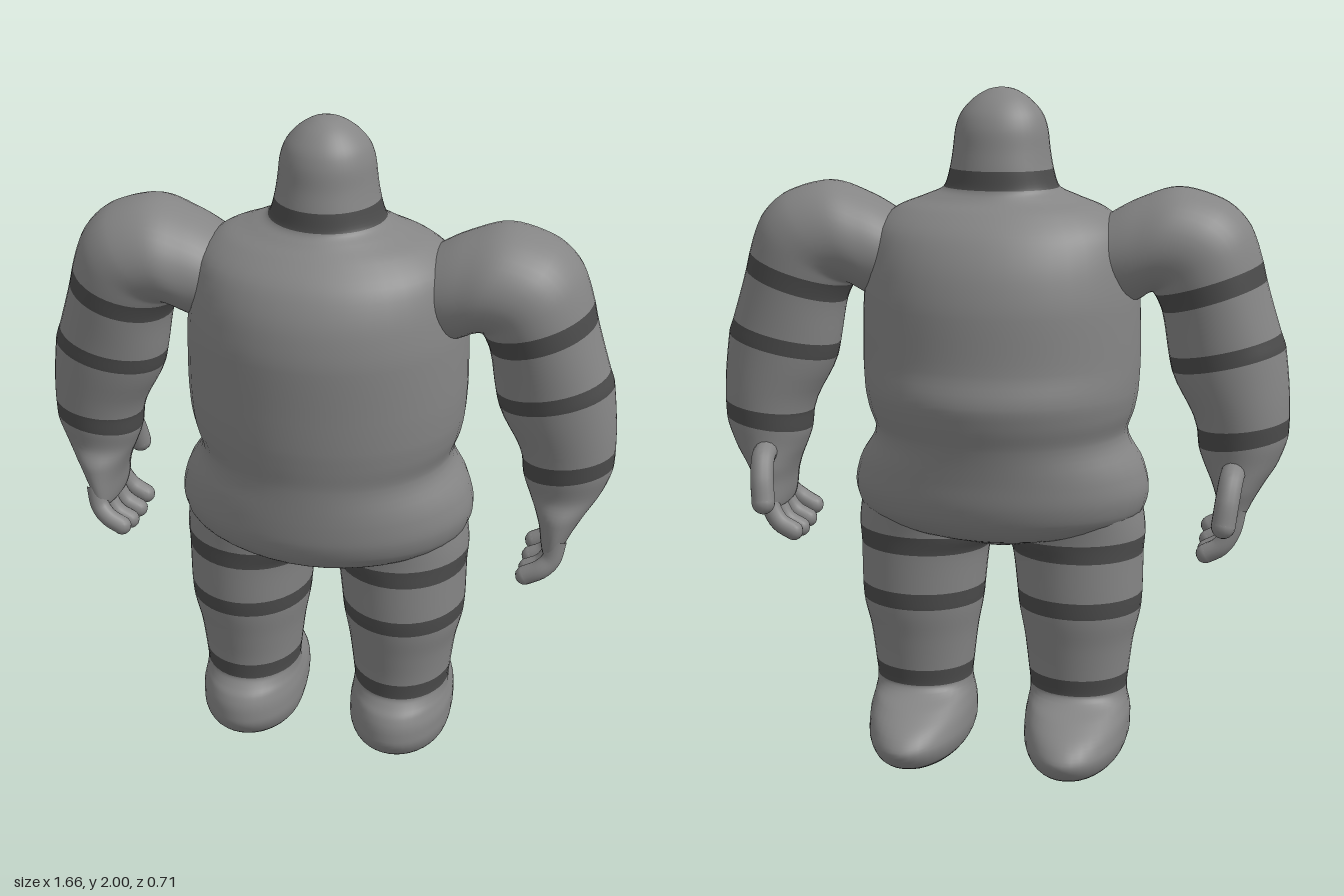
import * as THREE from 'three';

const SIDES = 40;
const STEPS = 5;

// Smooth skin through cross-sections. Each section is
// [outerX, outerY, innerX, innerY, zBack, zFront, dark]; dark = 1 paints the stretch up to the next one.
function loft(sections, side = 1) {
  const v = sections.map((s) => s.slice(0, 6));
  const n = v.length;
  const t = [0];
  for (let i = 1; i < n; i++) {
    t[i] = t[i - 1] + Math.hypot(...v[i].map((c, k) => c - v[i - 1][k])) + 1e-4;
  }
  const tangent = (i, k) => {
    const a = Math.max(i - 1, 0), b = Math.min(i + 1, n - 1);
    if (a === i || b === i) return (v[b][k] - v[a][k]) / (t[b] - t[a]);
    const d0 = (v[i][k] - v[a][k]) / (t[i] - t[a]);
    const d1 = (v[b][k] - v[i][k]) / (t[b] - t[i]);
    return d0 * d1 <= 0 ? 0 : (2 * d0 * d1) / (d0 + d1);
  };
  const rings = [];
  for (let i = 0; i < n - 1; i++) {
    const h = t[i + 1] - t[i];
    for (let j = 0; j < STEPS; j++) {
      const u = j / STEPS, u2 = u * u, u3 = u2 * u;
      rings.push(v[i].map((c, k) =>
        (2 * u3 - 3 * u2 + 1) * c + (u3 - 2 * u2 + u) * h * tangent(i, k)
        + (3 * u2 - 2 * u3) * v[i + 1][k] + (u3 - u2) * h * tangent(i + 1, k)));
    }
  }
  rings.push(v[n - 1]);

  const pos = [], idx = [];
  const geo = new THREE.BufferGeometry();
  rings.forEach(([ox, oy, ix, iy, zb, zf]) => {
    for (let j = 0; j < SIDES; j++) {
      const a = (j / SIDES) * Math.PI * 2, c = Math.cos(a), s = Math.sin(a);
      pos.push(side * ((ox + ix) / 2 + c * (ox - ix) / 2),
        (oy + iy) / 2 + c * (oy - iy) / 2, s * (s > 0 ? zb : zf));
    }
  });
  for (let i = 0; i < rings.length - 1; i++) {
    const start = idx.length;
    for (let j = 0; j < SIDES; j++) {
      const a = i * SIDES + j, b = i * SIDES + (j + 1) % SIDES;
      const c = a + SIDES, d = b + SIDES;
      if (side > 0) idx.push(a, c, b, b, c, d);
      else idx.push(a, b, c, b, d, c);
    }
    geo.addGroup(start, idx.length - start, sections[Math.floor(i / STEPS)][6] ? 1 : 0);
  }
  geo.setAttribute('position', new THREE.Float32BufferAttribute(pos, 3));
  geo.setIndex(idx);
  geo.computeVertexNormals();
  return geo;
}

// Level section: height, outer x, inner x, back and front depth
const level = (y, xo, xi, zb, zf, dark = 0) => [xo, y, xi, y, zb, zf, dark];
const round = (y, r, zb, zf, dark = 0) => level(y, r, -r, zb, zf, dark);

const BODY = [
  round(0.665, 0, 0, 0), round(0.685, 0.08, 0.08, 0.07), round(0.715, 0.19, 0.19, 0.15),
  round(0.75, 0.34, 0.265, 0.23), round(0.8, 0.418, 0.31, 0.272), round(0.86, 0.433, 0.328, 0.292),
  round(0.93, 0.418, 0.332, 0.302), round(1.03, 0.368, 0.334, 0.322), round(1.1, 0.388, 0.342, 0.345),
  round(1.16, 0.398, 0.348, 0.356), round(1.25, 0.402, 0.352, 0.338), round(1.4, 0.398, 0.356, 0.33),
  round(1.5, 0.388, 0.343, 0.31), round(1.6, 0.365, 0.3, 0.262), round(1.665, 0.3, 0.235, 0.2),
  round(1.7, 0.215, 0.19, 0.155), round(1.725, 0.164, 0.165, 0.14, 1), round(1.777, 0.146, 0.156, 0.134),
  round(1.83, 0.137, 0.145, 0.125), round(1.88, 0.131, 0.138, 0.117), round(1.92, 0.119, 0.125, 0.102),
  round(1.955, 0.093, 0.1, 0.076), round(1.98, 0.062, 0.07, 0.046), round(1.995, 0.03, 0.037, 0.02),
  round(2, 0, 0, 0),
];

const LEG = [
  level(0.005, 0.235, 0.235, 0, 0, 1), level(0.011, 0.29, 0.18, 0.075, 0.11, 1),
  level(0.035, 0.348, 0.122, 0.15, 0.235, 1), level(0.07, 0.38, 0.09, 0.2, 0.318),
  level(0.12, 0.391, 0.079, 0.225, 0.35), level(0.16, 0.391, 0.08, 0.222, 0.318),
  level(0.2, 0.384, 0.086, 0.207, 0.235), level(0.23, 0.38, 0.09, 0.178, 0.15),
  level(0.25, 0.38, 0.09, 0.166, 0.132, 1), level(0.3, 0.385, 0.085, 0.168, 0.137),
  level(0.4, 0.397, 0.073, 0.182, 0.15), level(0.5, 0.418, 0.055, 0.2, 0.166, 1),
  level(0.55, 0.421, 0.05, 0.204, 0.168), level(0.67, 0.422, 0.035, 0.206, 0.17, 1),
  level(0.725, 0.426, 0.005, 0.208, 0.175), level(0.85, 0.41, 0.01, 0.22, 0.2),
];

// From the palm up to the shoulder joint
const ARM = [
  [0.665, 0.765, 0.665, 0.765, 0, 0], [0.69, 0.773, 0.645, 0.772, 0.105, 0.1],
  [0.712, 0.8, 0.637, 0.797, 0.128, 0.122], [0.737, 0.85, 0.628, 0.85, 0.133, 0.13],
  [0.765, 0.9, 0.612, 0.9, 0.13, 0.14], [0.803, 0.965, 0.59, 0.95, 0.108, 0.138],
  [0.827, 1.045, 0.573, 1.0, 0.118, 0.143, 1], [0.828, 1.093, 0.566, 1.056, 0.123, 0.147],
  [0.81, 1.29, 0.492, 1.215, 0.153, 0.155, 1], [0.795, 1.335, 0.482, 1.26, 0.158, 0.156],
  [0.75, 1.48, 0.46, 1.385, 0.178, 0.16, 1], [0.737, 1.532, 0.437, 1.434, 0.185, 0.163],
  [0.7, 1.63, 0.43, 1.44, 0.191, 0.166], [0.62, 1.702, 0.42, 1.435, 0.195, 0.168],
  [0.5, 1.733, 0.4, 1.42, 0.193, 0.167], [0.39, 1.7, 0.35, 1.4, 0.176, 0.158],
  [0.28, 1.64, 0.28, 1.4, 0.15, 0.14],
];

// Back and front position at the root and at the tip, then the height of the tip
const FINGERS = [
  [0.1, 0.122, 0.72], [0.04, 0.048, 0.7], [-0.028, -0.03, 0.695], [-0.09, -0.103, 0.705],
];

export function createModel() {
  const model = new THREE.Group();
  model.name = 'stoutFigure';
  const suit = new THREE.MeshStandardMaterial({ color: 0x858585 });
  suit.name = 'grey suit';
  const band = new THREE.MeshStandardMaterial({ color: 0x4b4b4b });
  band.name = 'dark band';

  const add = (parent, name, geo, mat) => {
    const mesh = new THREE.Mesh(geo, mat);
    mesh.name = name;
    parent.add(mesh);
    return mesh;
  };

  // Finger with a rounded tip
  const digit = (parent, name, points, radius) => {
    const path = new THREE.CatmullRomCurve3(points);
    add(parent, name, new THREE.TubeGeometry(path, 14, radius, 14), suit);
    add(parent, name + 'Tip', new THREE.SphereGeometry(radius, 14, 10), suit)
      .position.copy(points[points.length - 1]);
  };

  add(model, 'torsoAndHead', loft(BODY), [suit, band]);

  for (const side of [1, -1]) {
    const label = side > 0 ? 'left' : 'right';
    const p = (x, y, z) => new THREE.Vector3(side * x, y, z);
    add(model, label + 'Leg', loft(LEG, side), [suit, band]);
    add(model, label + 'Arm', loft(ARM, side), [suit, band]);

    // Fingers curl inward, thumb points forward
    const hand = new THREE.Group();
    hand.name = label + 'Hand';
    model.add(hand);
    FINGERS.forEach(([z0, z1, y], i) => digit(hand, 'finger' + (i + 1), [
      p(0.692, 0.84, z0), p(0.678, 0.775, (z0 + z1) / 2), p(0.65, y + 0.025, z1), p(0.608, y, z1),
    ], 0.028));
    digit(hand, 'thumb', [
      p(0.68, 0.955, -0.11), p(0.675, 0.94, -0.165), p(0.668, 0.89, -0.203), p(0.66, 0.825, -0.222),
    ], 0.034);
  }
  return model;
}
